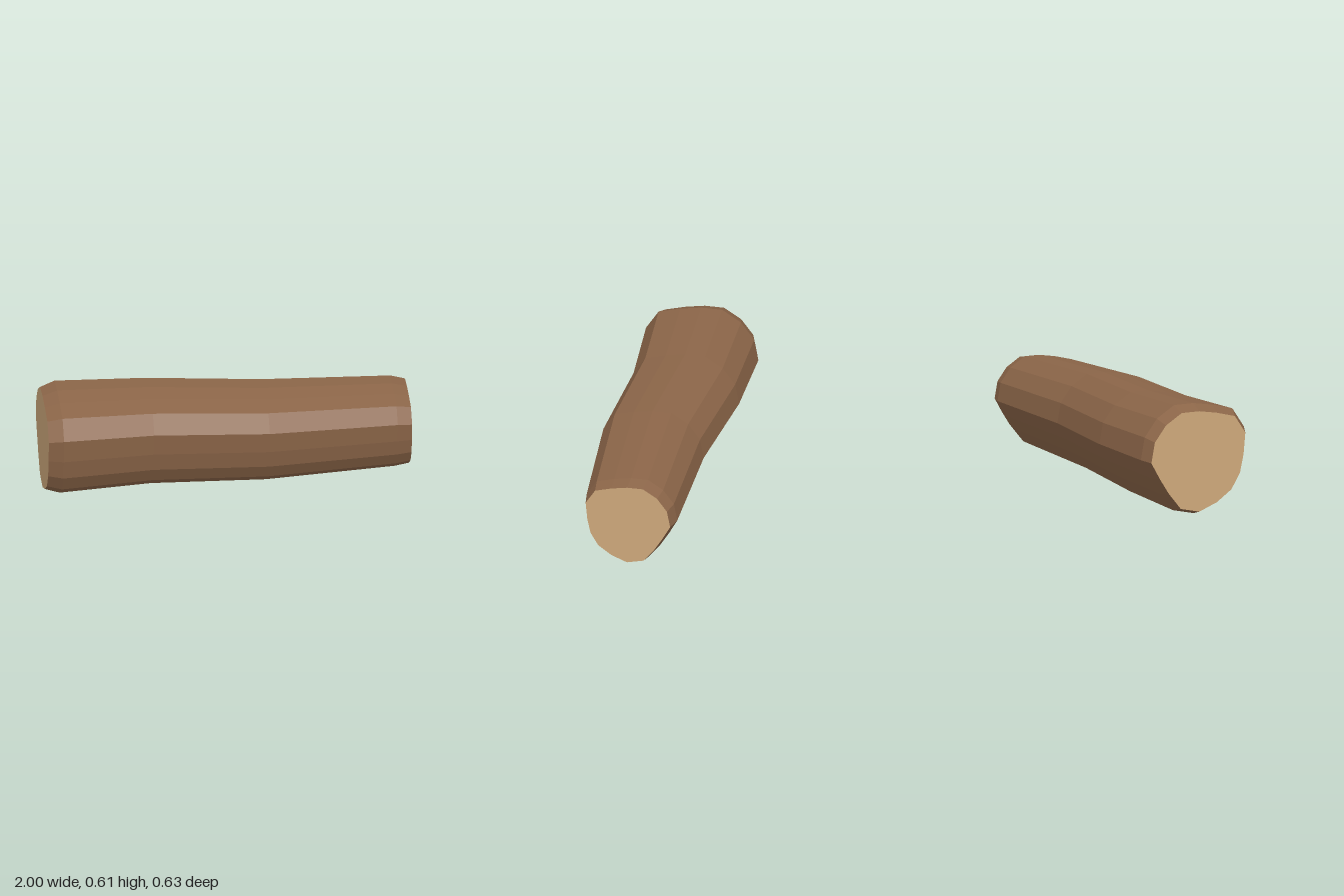
import * as THREE from 'three';

// Log cross-section at its thickest, as [z, y] around the axis
const PROFILE = [
  [0.243, 0.254], [0.122, 0.286], [0.006, 0.306], [-0.111, 0.306],
  [-0.216, 0.24], [-0.29, 0.142], [-0.313, 0.018], [-0.256, -0.085],
  [-0.195, -0.182], [-0.117, -0.279], [0.007, -0.307], [0.124, -0.26],
  [0.22, -0.191], [0.277, -0.095], [0.301, 0.017], [0.313, 0.147],
];

// Rings along the log: x, centre y, centre z, scale
const RINGS = [
  [-1, 0.307, -0.003, 0.912],
  [-0.92, 0.31, 0, 1],
  [-0.42, 0.305, -0.0225, 0.94],
  [0.21, 0.295, 0.02, 0.893],
  [0.92, 0.284, -0.0175, 0.807],
  [1, 0.283, -0.0125, 0.752],
];

const N = PROFILE.length;

const ringPoint = ([x, cy, cz, s], j) => {
  const [z, y] = PROFILE[j % N];
  return [x, cy + y * s, cz + z * s];
};

// Unshared corners give every facet its own flat normal
function facetedGeometry(points) {
  const geometry = new THREE.BufferGeometry();
  geometry.setAttribute('position', new THREE.Float32BufferAttribute(points.flat(), 3));
  geometry.computeVertexNormals();
  return geometry;
}

function barkGeometry() {
  const points = [];
  for (let i = 0; i < RINGS.length - 1; i++) {
    for (let j = 0; j < N; j++) {
      const a = ringPoint(RINGS[i], j), b = ringPoint(RINGS[i], j + 1);
      const c = ringPoint(RINGS[i + 1], j + 1), d = ringPoint(RINGS[i + 1], j);
      points.push(a, d, c, a, c, b);
    }
  }
  return facetedGeometry(points);
}

function cutGeometry(ring, facesLeft) {
  const points = [];
  const centre = ring.slice(0, 3);
  for (let j = 0; j < N; j++) {
    const a = ringPoint(ring, j), b = ringPoint(ring, j + 1);
    points.push(centre, ...(facesLeft ? [b, a] : [a, b]));
  }
  return facetedGeometry(points);
}

export function createModel() {
  const group = new THREE.Group();
  group.name = 'log';

  const bark = new THREE.MeshStandardMaterial({ color: 0x8b6548 });
  bark.name = 'bark brown';
  const wood = new THREE.MeshStandardMaterial({ color: 0xcea97b });
  wood.name = 'cut wood tan';

  const add = (name, geometry, material) => {
    const mesh = new THREE.Mesh(geometry, material);
    mesh.name = name;
    group.add(mesh);
  };

  // Bark with bevelled ends, then the two sawn faces
  add('bark', barkGeometry(), bark);
  add('leftCutEnd', cutGeometry(RINGS[RINGS.length - 1], true), wood);
  add('rightCutEnd', cutGeometry(RINGS[0], false), wood);

  return group;
}
